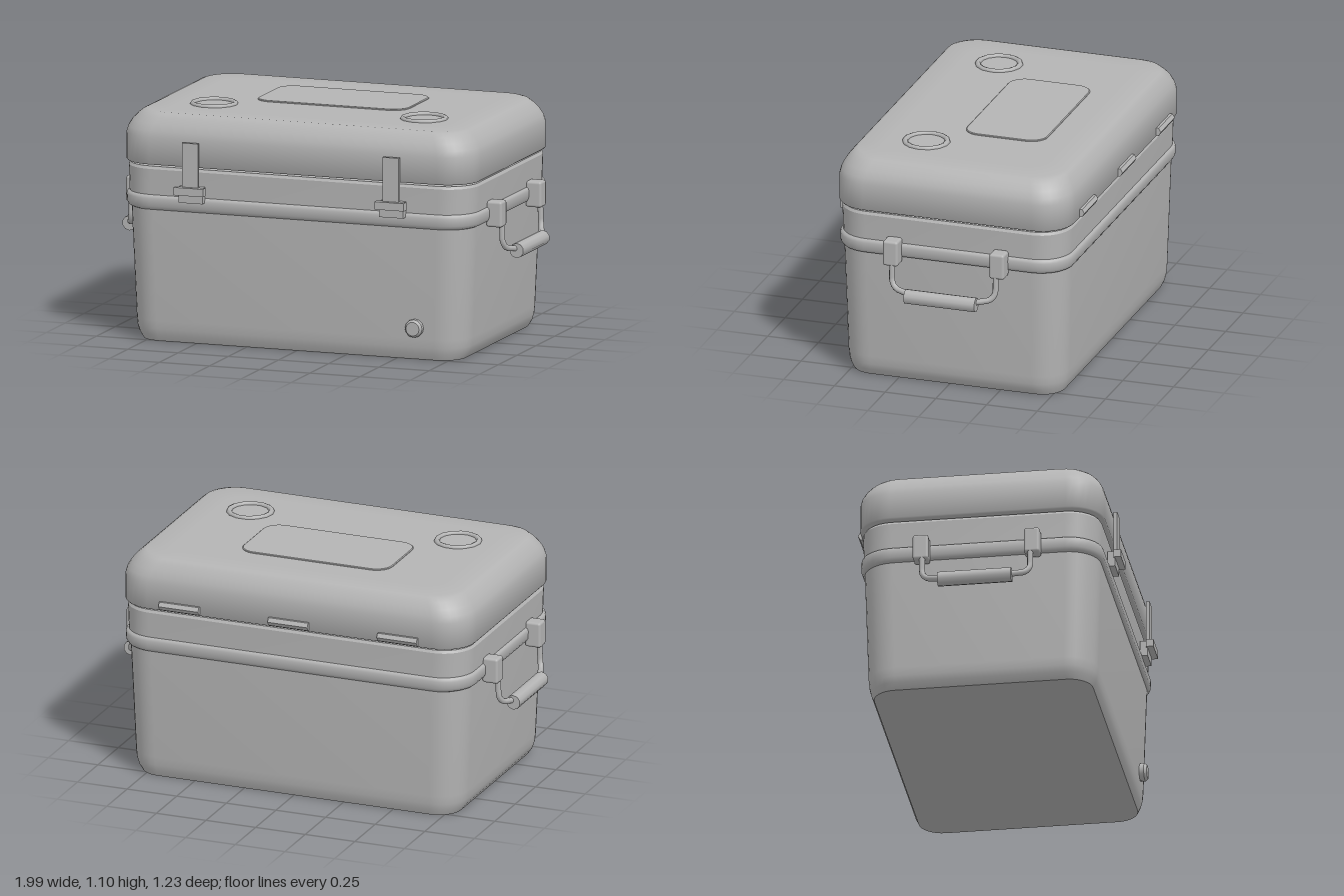
import * as THREE from 'three';
import { toCreasedNormals } from 'three/addons/utils/BufferGeometryUtils.js';
import { RoundedBoxGeometry } from 'three/addons/geometries/RoundedBoxGeometry.js';

const MID_Z = -0.013; // shell centre in z

// Closed loft through rounded rectangles; each level is [y, halfX, halfZ, cornerRadius].
function loft(levels, crease = 0.9, steps = 8) {
  const pos = [], index = [], n = 4 * (steps + 1);
  for (const [y, hx, hz, r] of levels) {
    for (let c = 0; c < 4; c++) {
      const cx = (c === 0 || c === 3 ? 1 : -1) * (hx - r);
      const cz = (c < 2 ? 1 : -1) * (hz - r);
      for (let s = 0; s <= steps; s++) {
        const a = (c + s / steps) * Math.PI / 2;
        pos.push(cx + r * Math.cos(a), y, cz + r * Math.sin(a));
      }
    }
  }
  for (let l = 0; l < levels.length - 1; l++) {
    for (let i = 0; i < n; i++) {
      const j = (i + 1) % n, a = l * n, b = a + n;
      index.push(a + i, b + i, a + j, a + j, b + i, b + j);
    }
  }
  const top = (levels.length - 1) * n, bottomMid = levels.length * n;
  pos.push(0, levels[0][0], 0, 0, levels[levels.length - 1][0], 0);
  for (let i = 0; i < n; i++) {
    const j = (i + 1) % n;
    index.push(bottomMid, i, j, bottomMid + 1, top + j, top + i);
  }
  const g = new THREE.BufferGeometry();
  g.setAttribute('position', new THREE.Float32BufferAttribute(pos, 3));
  g.setIndex(index);
  return toCreasedNormals(g, crease);
}

export function createModel() {
  const model = new THREE.Group();
  model.name = 'coolBox';
  const grey = new THREE.MeshStandardMaterial({ color: 0xb4b4b4 });
  grey.name = 'grey plastic';

  const add = (parent, name, geometry, x = 0, y = 0, z = 0) => {
    const mesh = new THREE.Mesh(geometry, grey);
    mesh.name = name;
    mesh.position.set(x, y, z);
    parent.add(mesh);
    return mesh;
  };
  const box = (w, h, d) => new THREE.BoxGeometry(w, h, d);

  // Tapered tub with rounded bottom edge
  add(model, 'tub', loft([
    [0, 0.797, 0.516, 0.11], [0.03, 0.818, 0.53, 0.13], [0.06, 0.828, 0.537, 0.138],
    [0.1, 0.832, 0.541, 0.142], [0.66, 0.856, 0.557, 0.15],
  ], 0.7), 0, 0, MID_Z);

  // Upper band of the tub
  add(model, 'rimBand', loft([
    [0.66, 0.862, 0.558, 0.15], [0.822, 0.868, 0.563, 0.155], [0.835, 0.86, 0.555, 0.147],
  ], 0.4), 0, 0, MID_Z);

  // Rounded rib around the tub
  add(model, 'rib', loft([
    [0.628, 0.853, 0.554, 0.145], [0.634, 0.867, 0.563, 0.155], [0.648, 0.875, 0.571, 0.16],
    [0.683, 0.877, 0.572, 0.16], [0.695, 0.873, 0.568, 0.157], [0.702, 0.86, 0.556, 0.147],
  ]), 0, 0, MID_Z);

  // Lid with softly rounded shoulders
  add(model, 'lid', loft([
    [0.845, 0.871, 0.57, 0.155], [0.852, 0.877, 0.576, 0.16], [0.975, 0.877, 0.576, 0.16],
    [1.005, 0.869, 0.569, 0.158], [1.035, 0.851, 0.555, 0.152], [1.062, 0.828, 0.537, 0.145],
    [1.079, 0.807, 0.522, 0.14], [1.085, 0.79, 0.507, 0.135], [1.085, 0.68, 0.4, 0.1],
  ], 0.9), 0, 0, MID_Z);

  // Raised pad on the lid
  add(model, 'lidPad', loft([
    [1.08, 0.375, 0.199, 0.08], [1.088, 0.375, 0.199, 0.08], [1.091, 0.371, 0.195, 0.076],
  ], 0.4), 0, 0, -0.112);

  // Cup rings
  for (const s of [-1, 1]) {
    const ring = add(model, 'cupRing', new THREE.TorusGeometry(0.1, 0.013, 8, 14), s * 0.523, 1.085, 0.21);
    ring.rotation.x = Math.PI / 2;
  }

  // Front latches
  for (const s of [-1, 1]) {
    const latch = new THREE.Group();
    latch.name = 'latch';
    latch.position.x = s * 0.5;
    add(latch, 'latchBase', box(0.12, 0.075, 0.037), 0, 0.717, 0.569);
    add(latch, 'latchStrap', box(0.08, 0.245, 0.018), 0, 0.843, 0.585);
    add(latch, 'latchGrip', box(0.146, 0.037, 0.035), 0, 0.738, 0.599);
    model.add(latch);
  }

  // Drain plug: short cylinder with a bevelled face
  const plug = add(model, 'drainPlug', toCreasedNormals(new THREE.LatheGeometry([
    [0, 0], [0.043, 0], [0.043, 0.035], [0.033, 0.048], [0, 0.048],
  ].map(([r, y]) => new THREE.Vector2(r, y)), 12), 0.55), 0.597, 0.153, 0.516);
  plug.rotation.x = Math.PI / 2;

  // Rear hinge barrels
  for (const x of [-0.55, 0, 0.55]) {
    const barrel = new THREE.CylinderGeometry(0.022, 0.022, 0.2, 6).rotateZ(Math.PI / 2);
    const hinge = add(model, 'hinge', toCreasedNormals(barrel, 0.5), x, 0.873, -0.59);
    hinge.name = 'hinge';
  }

  // Swing handles on both ends
  for (const s of [-1, 1]) {
    const handle = new THREE.Group();
    handle.name = s > 0 ? 'leftHandle' : 'rightHandle';
    handle.position.z = MID_Z;
    for (const t of [-1, 1]) {
      add(handle, 'handleBracket', new RoundedBoxGeometry(0.078, 0.123, 0.074, 2, 0.012), s * 0.897, 0.667, t * 0.262);
      const path = new THREE.CurvePath();
      const p = [
        [0.92, 0.68, 0.255], [0.924, 0.54, 0.255], [0.93, 0.508, 0.25],
        [0.94, 0.497, 0.222], [0.962, 0.482, 0.14],
      ].map(([x, y, z]) => new THREE.Vector3(s * x, y, t * z));
      path.add(new THREE.LineCurve3(p[0], p[1]));
      path.add(new THREE.QuadraticBezierCurve3(p[1], p[2], p[3]));
      path.add(new THREE.LineCurve3(p[3], p[4]));
      add(handle, 'handleRod', new THREE.TubeGeometry(path, 20, 0.014, 8));
    }
    const grip = new THREE.CylinderGeometry(0.035, 0.035, 0.348, 10).rotateX(Math.PI / 2);
    add(handle, 'handleGrip', grip, s * 0.964, 0.478, 0);
    model.add(handle);
  }

  return model;
}
